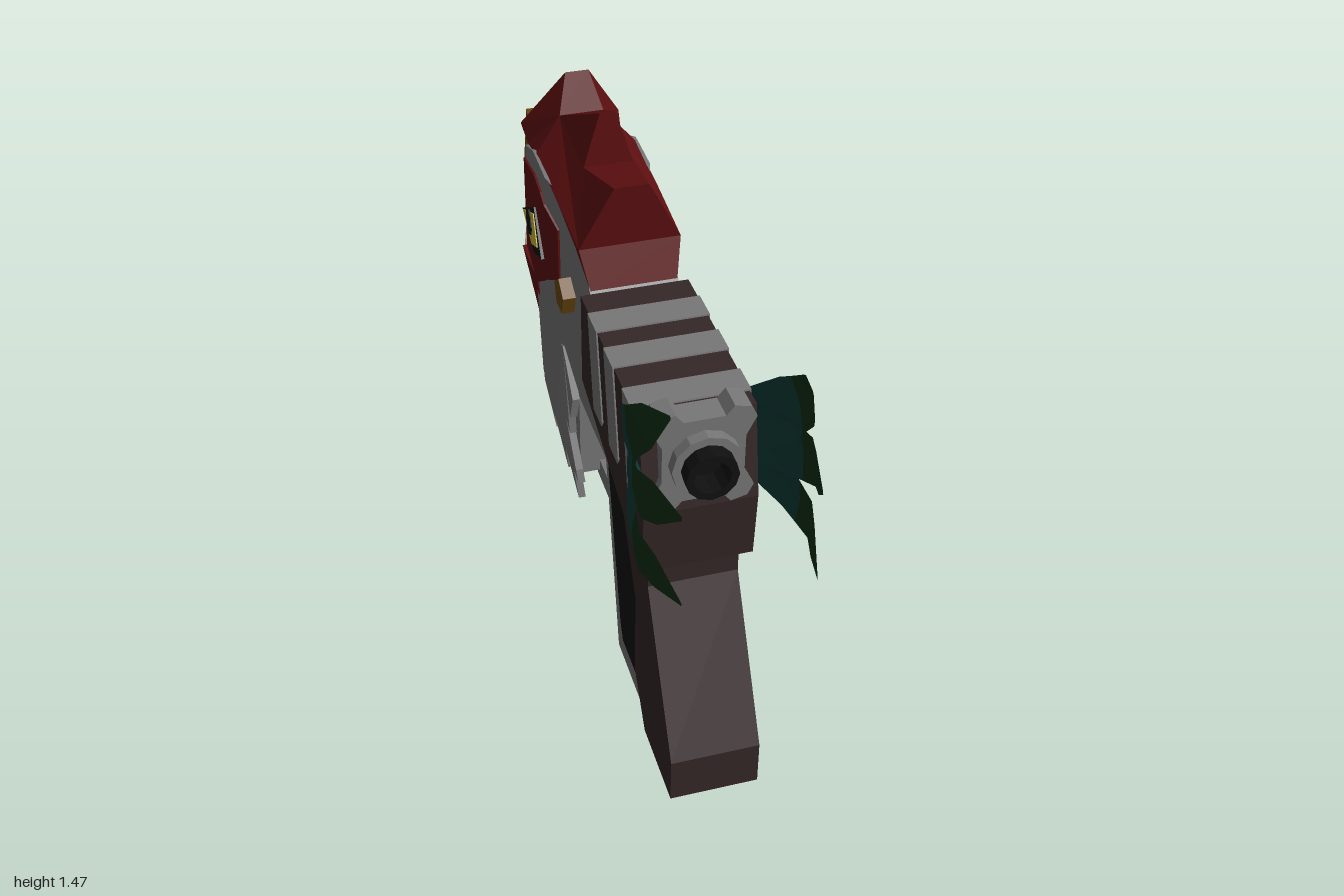
import * as THREE from 'three';
import { mergeGeometries } from 'three/addons/utils/BufferGeometryUtils.js';

const mat = (name, color, side = THREE.FrontSide) => {
  const m = new THREE.MeshStandardMaterial({ color, side });
  m.name = name;
  return m;
};

// Piecewise linear lookup in a table of [key, value], keys ascending
function lin(k, table) {
  if (k <= table[0][0]) return table[0][1];
  for (let i = 1; i < table.length; i++) {
    const [a, va] = table[i - 1], [b, vb] = table[i];
    if (k <= b) return va + (vb - va) * (k - a) / (b - a);
  }
  return table[table.length - 1][1];
}

// Side outline of [z, y] points, spread to a half width w(z, y) both ways in x
function slabGeo(pts, w) {
  const shape = new THREE.Shape(pts.map(([z, y]) => new THREE.Vector2(z, y)));
  const geo = new THREE.ExtrudeGeometry(shape, { depth: 2, bevelEnabled: false });
  geo.translate(0, 0, -1).rotateY(-Math.PI / 2);
  const p = geo.attributes.position;
  for (let i = 0; i < p.count; i++) {
    const half = typeof w === 'function' ? w(p.getZ(i), p.getY(i)) : w;
    p.setX(i, Math.sign(p.getX(i)) * half);
  }
  geo.computeVertexNormals();
  return geo;
}

// Row of columns between stations [z, bottom, top, half width]
function columnsGeo(st) {
  const parts = [];
  for (let i = 1; i < st.length; i++) {
    const a = st[i - 1], b = st[i];
    if (a[0] === b[0]) continue;
    const w = z => a[3] + (b[3] - a[3]) * (z - a[0]) / (b[0] - a[0]);
    parts.push(slabGeo([[a[0], a[1]], [b[0], b[1]], [b[0], b[2]], [a[0], a[2]]], w));
  }
  return mergeGeometries(parts);
}

export function createModel() {
  const group = new THREE.Group();
  const gray = mat('gray', 0x777777), brown = mat('dark brown', 0x352727), black = mat('black', 0x101010);
  const red = mat('red', 0x5e0f10), gold = mat('gold', 0x6b4a10), yellow = mat('yellow', 0xccbb3a);
  const teal = mat('teal', 0x0d3b36, THREE.DoubleSide), green = mat('green', 0x0c2e12, THREE.DoubleSide);
  const add = (name, geo, m) => {
    const mesh = new THREE.Mesh(geo, m);
    mesh.name = name;
    group.add(mesh);
    return mesh;
  };
  const slab = (name, m, w, pts) => add(name, slabGeo(pts, w), m);

  // Barrel housing with wrapped bands
  slab('barrelHousing', brown, 0.14, [[0.61, 1.11], [0.08, 1.11], [0.08, 0.85], [0.32, 0.78], [0.64, 0.68], [0.655, 0.87]]);
  for (const z of [0.56, 0.395, 0.245])
    slab('band', gray, 0.144, [[z, 1.114], [z - 0.083, 1.114], [z - 0.035, 0.855], [z + 0.04, 0.855], [z + 0.048, 0.87]]);

  // Grip
  slab('gripBack', brown, 0.115, [[0.61, 0.7], [0.61, 0.6], [0.83, 0.2], [0.83, 0.07], [0.595, 0.07], [0.5, 0.2],
    [0.5, 0.46], [0.355, 0.71], [0.32, 0.78]]);
  slab('gripFrame', gray, 0.1, [[0.4, 0.7], [0.15, 0.7], [0.285, 0.08], [0.6, 0.08], [0.55, 0.4]]);
  slab('gripPanel', black, 0.105, [[0.37, 0.69], [0.195, 0.69], [0.32, 0.2], [0.345, 0.155], [0.55, 0.155], [0.52, 0.46]]);
  slab('magazine', black, 0.06, [[0.675, 0.09], [0.705, 0], [0.345, 0], [0.32, 0.09]]);
  slab('trigger', black, 0.04, [[0.15, 0.7], [0, 0.7], [0.165, 0.455], [0.22, 0.455]]);
  slab('triggerGuard', gray, 0.06, [[0.23, 0.455], [-0.08, 0.455], [-0.08, 0.395], [0.2, 0.395]]);

  // Muzzle plate with four corner lobes
  const quarter = [[0.1, 0.05], [0.125, 0.1], [0.11, 0.13], [0.07, 0.14], [0.05, 0.115]];
  const mirrored = [...quarter].reverse();
  const plate = new THREE.Shape([
    ...quarter, ...mirrored.map(([x, y]) => [-x, y]),
    ...quarter.map(([x, y]) => [-x, -y]), ...mirrored.map(([x, y]) => [x, -y])
  ].map(([x, y]) => new THREE.Vector2(x, y)));
  add('muzzlePlate', new THREE.ExtrudeGeometry(plate, { depth: 0.07, bevelEnabled: false }), gray).position.set(0, 1.015, 0.59);
  const ring = (name, m, inner, outer, z0, z1) => {
    const pts = [[inner, z0], [outer, z0], [outer, z1], [inner, z1], [inner, z0]].map(p => new THREE.Vector2(...p));
    const geo = new THREE.LatheGeometry(pts, 12).toNonIndexed();
    geo.computeVertexNormals();
    add(name, geo.rotateX(Math.PI / 2), m).position.y = 1.015;
  };
  ring('muzzleRing', gray, 0.06, 0.085, 0.62, 0.69);
  ring('muzzleTube', black, 0.045, 0.064, 0.62, 0.73);
  add('bore', new THREE.CircleGeometry(0.06, 12), black).position.set(0, 1.015, 0.665);

  // Head and neck
  add('head', columnsGeo([
    [0.36, 0.69, 0.77, 0.112], [0.08, 0.69, 0.85, 0.115], [0.08, 0.69, 1.11, 0.115], [-0.02, 0.69, 1.19, 0.115],
    [-0.06, 0.69, 1.205, 0.115], [-0.06, 0.42, 1.205, 0.115], [-0.2, 0.44, 1.237, 0.12], [-0.28, 0.5, 1.245, 0.142],
    [-0.38, 0.56, 1.25, 0.142], [-0.42, 0.8, 1.25, 0.142], [-0.57, 0.87, 1.185, 0.13], [-0.67, 1, 1.115, 0.09]]), gray);
  add('face', columnsGeo([
    [-0.21, 0.97, 1.125, 0.128], [-0.28, 0.93, 1.165, 0.148], [-0.32, 0.9, 1.18, 0.148], [-0.395, 0.85, 1.195, 0.148],
    [-0.42, 0.85, 1.19, 0.148], [-0.57, 0.85, 1.145, 0.136], [-0.61, 0.92, 1.13, 0.12], [-0.65, 0.975, 1.12, 0.103],
    [-0.67, 1.08, 1.117, 0.095]]), red);
  slab('wattle', red, (z, y) => lin(y, [[0.4, 0.05], [0.6, 0.12], [0.8, 0.148]]) * (z < -0.6 ? 0.75 : 1),
    [[-0.395, 0.86], [-0.365, 0.6], [-0.42, 0.465], [-0.455, 0.42], [-0.52, 0.4], [-0.61, 0.48], [-0.645, 0.575],
      [-0.67, 0.66], [-0.575, 0.86]]);
  slab('comb', red, (z, y) => lin(y, [[1.11, 0.112], [1.25, 0.138], [1.33, 0.06], [1.47, 0.02]]) * (z < -0.6 ? 0.8 : 1),
    [[0.075, 1.112], [0.035, 1.215], [0.05, 1.385], [-0.17, 1.325], [-0.175, 1.47], [-0.445, 1.33], [-0.49, 1.43],
      [-0.58, 1.25], [-0.67, 1.12], [-0.53, 1.213], [-0.4, 1.248], [-0.17, 1.233], [-0.02, 1.188]]);

  // Beak, ridge and red mouth lining
  slab('beak', gold, (z, y) => lin(z, [[-1, 0.035], [-0.95, 0.055], [-0.67, 0.1], [-0.575, 0.142]]) * (y > 1.08 ? 0.85 : 1),
    [[-0.66, 1.115], [-0.805, 1.125], [-0.92, 1.105], [-0.995, 1.02], [-1, 0.85], [-0.95, 0.935], [-0.78, 0.94],
      [-0.67, 0.815], [-0.78, 0.69], [-0.915, 0.645], [-0.91, 0.595], [-0.75, 0.635], [-0.67, 0.665], [-0.575, 0.86],
      [-0.65, 0.975]]);
  slab('beakRidge', gold, 0.026, [[-0.66, 1.11], [-0.695, 1.16], [-0.79, 1.16], [-0.81, 1.11]]);
  slab('mouthLining', red, 0.05, [[-0.78, 0.945], [-0.8, 0.933], [-0.682, 0.815], [-0.78, 0.7], [-0.87, 0.668],
    [-0.78, 0.68], [-0.66, 0.815]]);

  // Eyes, with thin layers one above the other
  const lean = lift => z => 0.157 + lift + (z + 0.29) * 0.04;
  slab('eyeOutline', black, lean(0), [[-0.29, 0.99], [-0.38, 1.1], [-0.565, 0.99], [-0.41, 0.94]]);
  slab('iris', yellow, lean(0.003), [[-0.335, 1], [-0.38, 1.08], [-0.54, 1], [-0.42, 0.96]]);
  slab('pupil', black, lean(0.006), Array.from({ length: 8 }, (_, i) =>
    [-0.44 + 0.038 * Math.cos(i * Math.PI / 4), 1.02 + 0.038 * Math.sin(i * Math.PI / 4)]));

  // Five-sided bolt through the neck
  const bolt = new THREE.CylinderGeometry(0.05, 0.05, 0.3, 5, 1, false, Math.PI / 2).rotateZ(Math.PI / 2).toNonIndexed();
  bolt.computeVertexNormals();
  add('bolt', bolt, gold).position.set(0, 0.985, -0.12);

  const tailX = [[0, 0.14], [0.3, 0.185], [0.6, 0.2], [1, 0.155]];
  const tailW = [[0, 0.075], [0.3, 0.075], [0.45, 0.066], [0.75, 0.05], [1, 0.004]];
  // Folded strip from base to tip, between t values of the list
  function featherGeo(side, base, tip, ts) {
    const pos = [], idx = [];
    const dz = tip[0] - base[0], dy = tip[1] - base[1], len = Math.hypot(dz, dy);
    ts.forEach((t, i) => {
      for (const e of [-1, 0, 1]) {
        const w = e * lin(t, tailW);
        const x = lin(t, tailX) + (e === 0 ? 0.013 * (1 - t) : 0);
        pos.push(side * x, base[1] + dy * t + w * dz / len, base[0] + dz * t - w * dy / len);
      }
      if (i) for (const k of [0, 1]) {
        const a = (i - 1) * 3 + k, b = a + 3;
        if (side > 0) idx.push(a, b, a + 1, b, b + 1, a + 1);
        else idx.push(a, a + 1, b, b, a + 1, b + 1);
      }
    });
    // Outward faces: flip the strip so that its front looks away from the middle
    for (let i = 0; i < idx.length; i += 3) [idx[i + 1], idx[i + 2]] = [idx[i + 2], idx[i + 1]];
    const geo = new THREE.BufferGeometry();
    geo.setAttribute('position', new THREE.Float32BufferAttribute(pos, 3));
    geo.setIndex(idx);
    geo.computeVertexNormals();
    return geo;
  }

  // Ragged neck feathers and tail feathers on both sides
  for (const s of [1, -1]) {
    const neck = slabGeo([[-0.045, 0.69], [-0.055, 0.625], [-0.075, 0.64], [-0.075, 0.555], [-0.11, 0.585], [-0.04, 0.45],
      [-0.03, 0.41], [-0.075, 0.42], [-0.06, 0.33], [-0.165, 0.43], [-0.17, 0.355], [-0.285, 0.465], [-0.28, 0.42],
      [-0.38, 0.52], [-0.385, 0.6], [-0.37, 0.72], [-0.2, 0.76]], 0.01);
    const p = neck.attributes.position;
    for (let i = 0; i < p.count; i++)
      p.setX(i, p.getX(i) + s * lin(p.getY(i), [[0.33, 0.112], [0.5, 0.128], [0.65, 0.134], [0.76, 0.115]]));
    neck.computeVertexNormals();
    add(s > 0 ? 'leftNeckFeathers' : 'rightNeckFeathers', neck, gray);
    for (const [base, tip] of [[[0.58, 1.04], [0.895, 1.345]], [[0.58, 1.01], [0.99, 1.15]], [[0.57, 0.945], [1, 0.915]]]) {
      add('tailFeatherBase', featherGeo(s, base, tip, [0, 0.15, 0.3, 0.45]), teal);
      add('tailFeatherTip', featherGeo(s, base, tip, [0.45, 0.6, 0.75, 0.88, 1]), green);
    }
  }
  return group;
}
